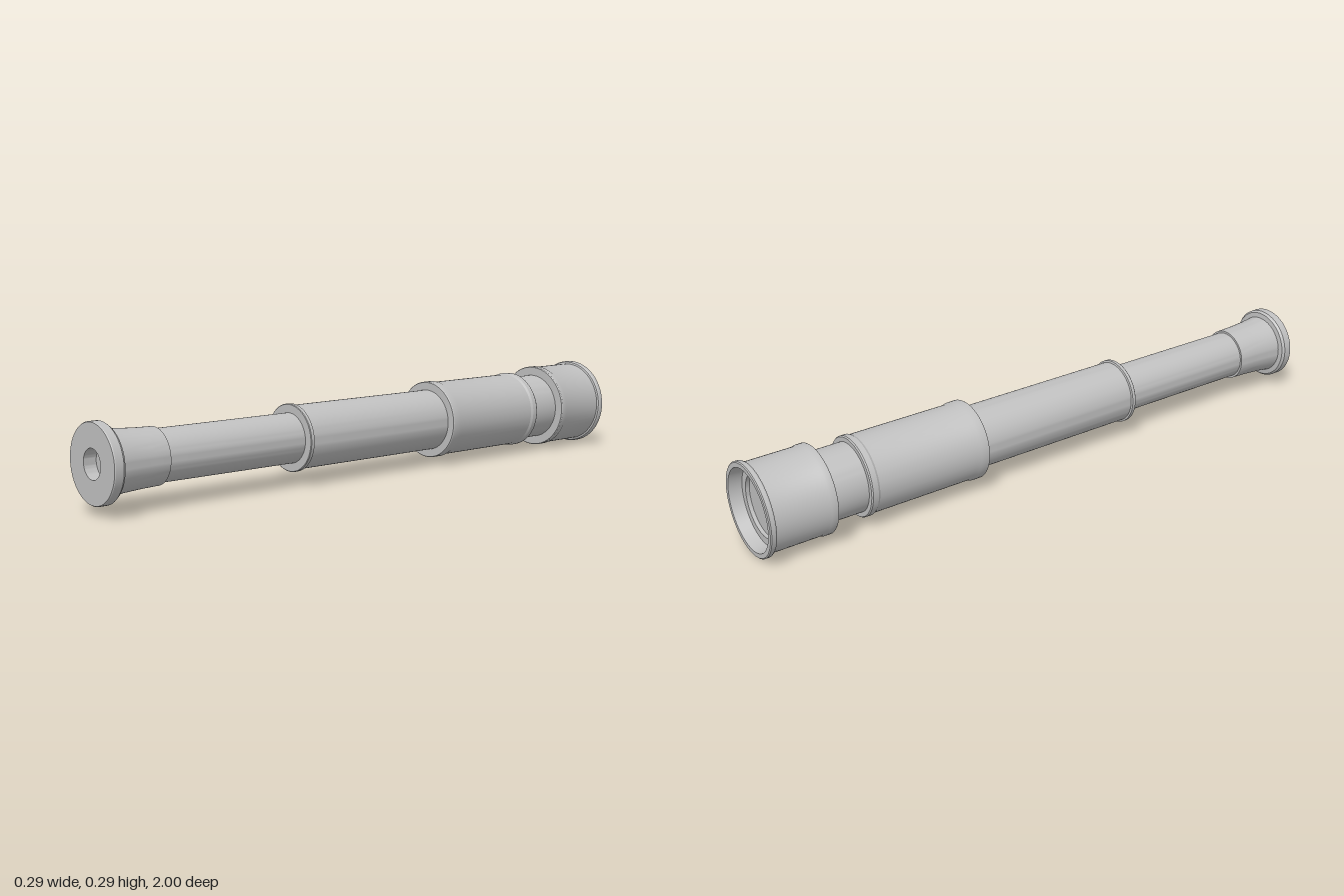
import * as THREE from 'three';
import { toCreasedNormals } from 'three/addons/utils/BufferGeometryUtils.js';

const AXIS_HEIGHT = 0.145;

export function createModel() {
  const model = new THREE.Group();
  model.name = 'spyglass';

  const metal = new THREE.MeshStandardMaterial({ color: 0xc0c0c0 });
  metal.name = 'grey metal';

  // Turned part: [radius, z] points from the back (-z) to the front (+z)
  function turned(name, profile) {
    const points = profile.map(([r, z]) => new THREE.Vector2(r, z));
    const lathe = new THREE.LatheGeometry(points, 64).rotateX(Math.PI / 2);
    const mesh = new THREE.Mesh(toCreasedNormals(lathe, 0.45), metal);
    mesh.name = name;
    mesh.position.y = AXIS_HEIGHT;
    model.add(mesh);
  }

  // Objective hood with a stepped recess down to the lens seat
  turned('objectiveHood', [
    [0.097, -0.945], [0.097, -0.96], [0.12, -0.96], [0.127, -1],
    [0.141, -1], [0.144, -0.997], [0.144, -0.985], [0.141, -0.98], [0.135, -0.978],
    [0.135, -0.815], [0.138, -0.808], [0.138, -0.788], [0.136, -0.785], [0.1, -0.785],
  ]);
  turned('objectiveLens', [[0.097, -0.945], [0, -0.945]].reverse());
  turned('objectiveLensFace', [[0, -0.948], [0.098, -0.948], [0.098, -0.94]]);

  // Neck between the hood and the main barrel
  turned('neck', [[0.108, -0.79], [0.108, -0.665]]);

  // Main barrel with a raised collar at each end
  turned('mainBarrel', [
    [0.1, -0.672], [0.122, -0.672], [0.125, -0.668], [0.125, -0.65], [0.121, -0.643],
    [0.121, -0.31], [0.125, -0.295], [0.125, -0.268], [0.123, -0.265], [0.09, -0.265],
  ]);

  // Middle draw tube and its end ring
  turned('middleTube', [
    [0.098, -0.27], [0.098, 0.302], [0.104, 0.304], [0.104, 0.315], [0.102, 0.317], [0.07, 0.317],
  ]);

  // Narrow draw tube
  turned('innerTube', [[0.077, 0.31], [0.077, 0.805]]);

  // Flared eyepiece with a small sight hole
  turned('eyepiece', [
    [0.07, 0.8], [0.084, 0.8], [0.086, 0.86], [0.09, 0.92], [0.095, 0.962],
    [0.111, 0.964], [0.117, 0.972], [0.117, 0.997], [0.115, 1],
    [0.044, 1], [0.044, 0.96], [0, 0.96],
  ]);

  return model;
}
